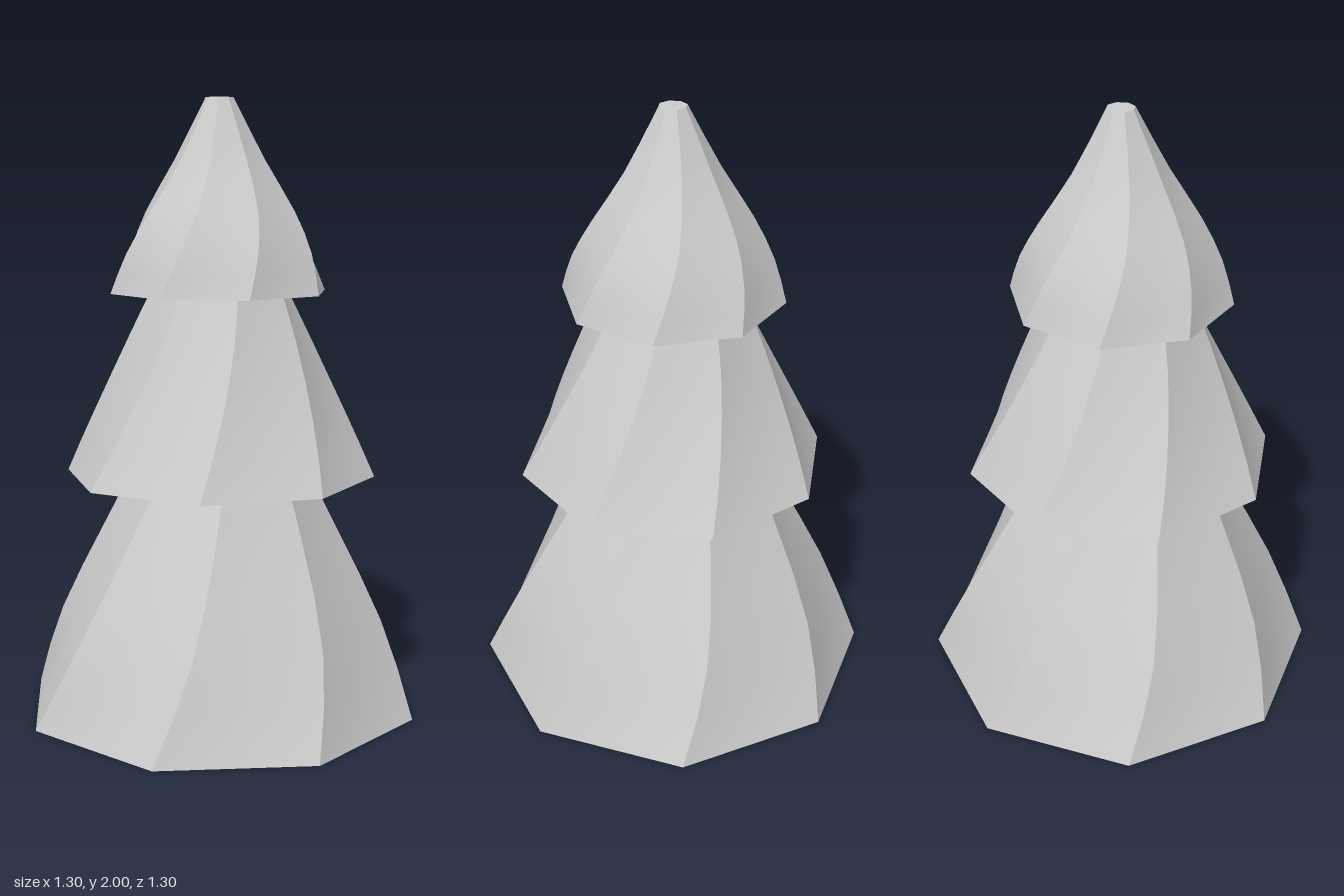
import * as THREE from 'three';

const SIDES = 8, ROWS = 8, COLS = 3;

// Corner k of the octagonal section: radius r, height y, rotation in degrees
function corner(k, r, y, deg) {
  const a = THREE.MathUtils.degToRad(deg) + (k / SIDES) * Math.PI * 2;
  return new THREE.Vector3(r * Math.cos(a), y, r * Math.sin(a));
}

// Twisted eight-sided tier; rings are [height, radius, twist in degrees]
function tierGeometry(baseAngle, rings) {
  const curve = new THREE.CatmullRomCurve3(rings.map(([y, r, t]) => new THREE.Vector3(r, y, t / 60)), false, 'centripetal');
  const rows = curve.getPoints(ROWS).map(p => [p.x, p.y, baseAngle - p.z * 60]);
  const pos = [], idx = [];

  // Each panel has its own vertices, so the spiral ridges stay sharp
  for (let k = 0; k < SIDES; k++) {
    const start = pos.length / 3;
    for (const row of rows) {
      const a = corner(k, ...row), b = corner(k + 1, ...row);
      for (let c = 0; c <= COLS; c++) pos.push(...a.clone().lerp(b, c / COLS).toArray());
    }
    for (let j = 0; j < ROWS; j++) {
      for (let c = 0; c < COLS; c++) {
        const p = start + j * (COLS + 1) + c, q = p + COLS + 1;
        idx.push(p, q, p + 1, p + 1, q, q + 1);
      }
    }
  }

  // Flat underside and flat tip
  for (const [row, up] of [[rows[0], false], [rows[ROWS], true]]) {
    const start = pos.length / 3;
    pos.push(0, row[1], 0);
    for (let k = 0; k < SIDES; k++) pos.push(...corner(k, ...row).toArray());
    for (let k = 0; k < SIDES; k++) {
      const p = start + 1 + k, q = start + 1 + ((k + 1) % SIDES);
      idx.push(start, up ? q : p, up ? p : q);
    }
  }

  const geo = new THREE.BufferGeometry();
  geo.setAttribute('position', new THREE.Float32BufferAttribute(pos, 3));
  geo.setIndex(idx);
  geo.computeVertexNormals();
  return geo;
}

export function createModel() {
  const tree = new THREE.Group();
  tree.name = 'tree';
  const material = new THREE.MeshStandardMaterial({ color: 0xcccccc });

  const tiers = [
    ['bottomTier', 9.8, [[0, 0.66, 0], [0.3, 0.54, 9], [0.6, 0.388, 15.5], [0.78, 0.295, 20], [0.88, 0.24, 22.5]]],
    ['middleTier', -1.2, [[0.78, 0.51, 0], [1.08, 0.37, 10], [1.38, 0.232, 21], [1.48, 0.18, 24]]],
    ['topTier', 22.3, [[1.38, 0.36, 0], [1.51, 0.317, 7], [1.64, 0.25, 14], [1.8, 0.15, 20], [2, 0.045, 24]]],
  ];
  for (const [name, angle, rings] of tiers) {
    const mesh = new THREE.Mesh(tierGeometry(angle, rings), material);
    mesh.name = name;
    tree.add(mesh);
  }
  return tree;
}
